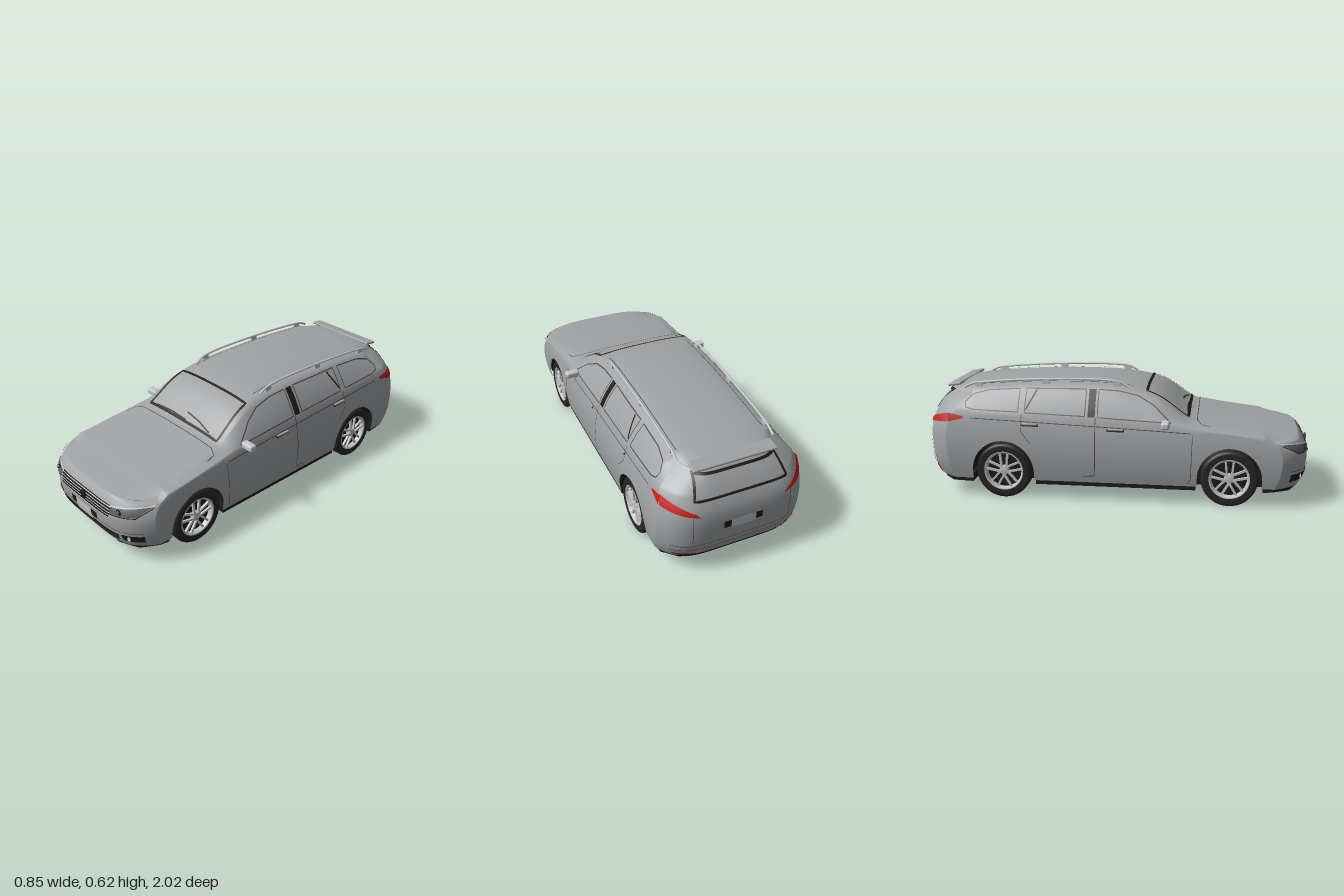
import * as THREE from 'three';
import { mergeVertices } from 'three/addons/utils/BufferGeometryUtils.js';
import { RoundedBoxGeometry } from 'three/addons/geometries/RoundedBoxGeometry.js';

const W = 0.385, SILL = 0.1, ARCH = 0.163, AXLE_Y = 0.145, AXLES = [0.6, -0.57];
const lerp = THREE.MathUtils.lerp;

// station, shoulder height, roof/hood edge x, edge height, centre height
const SECTIONS = [
  [-1, 0.46, 0.245, 0.545, 0.568], [-0.7, 0.452, 0.258, 0.567, 0.592], [-0.4, 0.44, 0.262, 0.585, 0.612],
  [-0.1, 0.43, 0.262, 0.588, 0.615], [0.03, 0.425, 0.262, 0.583, 0.605], [0.15, 0.42, 0.265, 0.565, 0.582],
  [0.25, 0.415, 0.282, 0.525, 0.54], [0.38, 0.405, 0.292, 0.437, 0.448], [0.42, 0.4, 0.3, 0.424, 0.435],
  [0.77, 0.362, 0.33, 0.37, 0.38], [1, 0.338, 0.34, 0.345, 0.347]];
// height, z of the nose and of the tail
const NOSE = [[0.08, 0.96], [0.15, 0.988], [0.25, 1], [0.3, 0.988], [0.347, 0.955]];
const TAIL = [[0.08, -0.945], [0.16, -0.985], [0.3, -1], [0.38, -0.995], [0.43, -0.975], [0.5, -0.935], [0.57, -0.88]];

// smooth lookup in a sorted table
function at(table, s, c = 1) {
  const n = table.length - 1;
  if (s <= table[0][0]) return table[0][c];
  if (s >= table[n][0]) return table[n][c];
  let i = 0;
  while (s > table[i + 1][0]) i++;
  const slope = k => {
    const p = table[Math.max(0, k - 1)], q = table[Math.min(n, k + 1)];
    return (q[c] - p[c]) / (q[0] - p[0]);
  };
  const a = table[i], b = table[i + 1], h = b[0] - a[0], t = (s - a[0]) / h, t2 = t * t, t3 = t2 * t;
  return a[c] * (2 * t3 - 3 * t2 + 1) + b[c] * (3 * t2 - 2 * t3) + h * (slope(i) * (t3 - 2 * t2 + t) + slope(i + 1) * (t3 - t2));
}
const section = s => [1, 2, 3, 4].map(c => at(SECTIONS, s, c));
const lowerX = y => W * (1 - 0.08 * ((y - 0.24) / 0.2) ** 2);
function sideX(y, s) {
  const [sh, ex, ey] = section(s);
  if (y <= sh) return lowerX(y);
  const t = Math.min(1, (y - sh) / (ey - sh));
  return lerp(lowerX(sh), ex, t) + 0.05 * (ey - sh) * Math.sin(Math.PI * t);
}
function topY(x, s) {
  const [sh, ex, ey, top] = section(s), a = Math.abs(x) / ex;
  return a <= 1 ? ey + (top - ey) * (1 - a ** 3) : lerp(ey, sh, (Math.abs(x) - ex) / (lowerX(sh) - ex));
}
const ratio = (x, y, s) => Math.min(1, Math.abs(x) / sideX(y, s));
const frontZ = (x, y) => at(NOSE, y) - 0.14 * ratio(x, y, 1) ** 5;
const rearZ = (x, y) => at(TAIL, y) + 0.13 * ratio(x, y, -1) ** 6;
function warpZ(x, y, s) {
  if (s > 0.77) return lerp(0.77, frontZ(x, y), (s - 0.77) / 0.23);
  if (s < -0.75) return lerp(-0.75, rearZ(x, y), (-0.75 - s) / 0.25);
  return s;
}
function bottomY(s) {
  for (const c of AXLES) {
    const d = Math.abs(s - c);
    if (d <= ARCH + 1e-6) return AXLE_Y + Math.sqrt(Math.max(0, ARCH * ARCH - d * d));
  }
  return SILL;
}
function halfProfile(s) {
  const [sh, ex, ey] = section(s), b = bottomY(s), pts = [];
  for (let i = 0; i < 12; i++) { const y = lerp(b, sh, i / 12); pts.push([lowerX(y), y]); }
  for (let i = 0; i < 8; i++) { const y = lerp(sh, ey, i / 8); pts.push([sideX(y, s), y]); }
  for (let i = 0; i <= 10; i++) { const x = ex * (1 - i / 10); pts.push([x, topY(x, s)]); }
  return pts;
}

// one smooth shell: lofted sections closed by curved nose and tail
function bodyGeometry() {
  const pos = [], idx = [], stations = [];
  for (let i = 0; i <= 100; i++) stations.push(-1 + i * 0.02);
  for (const c of AXLES) {
    for (let k = 0; k <= 24; k++) stations.push(c + ARCH * Math.cos(Math.PI * k / 24));
    stations.push(c - ARCH - 0.0005, c + ARCH + 0.0005);
  }
  stations.sort((a, b) => a - b);
  const grid = (rows, flip) => {
    const base = pos.length / 3, n = rows[0].length;
    rows.forEach(r => r.forEach(p => pos.push(...p)));
    for (let i = 0; i < rows.length - 1; i++) for (let j = 0; j < n - 1; j++) {
      const a = base + i * n + j, b = a + 1, c = a + n + 1, d = a + n;
      idx.push(...(flip ? [a, d, c, a, c, b] : [a, b, c, a, c, d]));
    }
  };
  grid(stations.map(s => {
    const h = halfProfile(s);
    return [...h, ...h.slice(0, -1).reverse().map(([x, y]) => [-x, y])].map(([x, y]) => [x, y, warpZ(x, y, s)]);
  }), false);
  for (const s of [1, -1]) grid(halfProfile(s).map(([x, y]) => {
    const row = [];
    for (let k = 0; k <= 36; k++) {
      const u = x * Math.sin((1 - k / 18) * Math.PI / 2);
      row.push([u, y, warpZ(u, y, s)]);
    }
    return row;
  }), s > 0);
  const g = new THREE.BufferGeometry();
  g.setAttribute('position', new THREE.Float32BufferAttribute(pos, 3));
  g.setIndex(idx);
  const m = mergeVertices(g, 1e-5);
  m.computeVertexNormals();
  return m;
}

// surface maps for thin details: (u, v, lift) -> point
const onFront = (x, y, o) => [x + Math.sign(x) * o * ratio(x, y, 1) ** 4, y, frontZ(x, y) + o];
const onRear = (x, y, o) => [x + Math.sign(x) * o * ratio(x, y, -1) ** 4, y, rearZ(x, y) - o];
const onTop = (x, z, o) => [x, topY(x, z) + o, z];
const onSide = k => (z, y, o) => [k * (sideX(y, z) + o), y, z];

export function createModel() {
  const car = new THREE.Group();
  car.name = 'estateCar';
  const paint = (name, color) => new THREE.MeshStandardMaterial({ name, color, side: THREE.DoubleSide });
  const body = paint('bodyGrey', 0xa0a2a4), glass = paint('glassGrey', 0x9fa1a3), black = paint('trimBlack', 0x1c1c1c);
  const tyreMat = paint('tyreBlack', 0x262626), red = paint('lampRed', 0xc42020), silver = paint('silver', 0xc4c6c8);
  const lamp = paint('lampGrey', 0x5c5e60), seam = paint('seamGrey', 0x48494b);
  const add = (name, geo, mat, parent = car) => {
    const m = new THREE.Mesh(geo, mat);
    m.name = name;
    parent.add(m);
    return m;
  };
  const sheet = (name, mat, rows) => {
    const n = rows[0].length, idx = [], g = new THREE.BufferGeometry();
    g.setAttribute('position', new THREE.Float32BufferAttribute(rows.flat(2), 3));
    for (let i = 0; i < rows.length - 1; i++) for (let j = 0; j < n - 1; j++) {
      const a = i * n + j;
      idx.push(a, a + 1, a + n + 1, a, a + n + 1, a + n);
    }
    g.setIndex(idx);
    g.computeVertexNormals();
    return add(name, g, mat);
  };
  const patch = (name, mat, map, [a, b, c, d], lift = 0.004, n = 14) => {
    const rows = [];
    for (let i = 0; i <= n; i++) {
      const row = [];
      for (let j = 0; j <= n; j++) {
        const v = i / n, u = j / n, mix = q => lerp(lerp(a[q], b[q], u), lerp(d[q], c[q], u), v);
        row.push(map(mix(0), mix(1), lift));
      }
      rows.push(row);
    }
    return sheet(name, mat, rows);
  };
  const rect = (x0, y0, x1, y1) => [[x0, y0], [x1, y0], [x1, y1], [x0, y1]];
  const strip = (name, mat, map, pts, w = 0.005, lift = 0.005) => {
    const path = [];
    pts.forEach((p, i) => {
      if (!i) return path.push(p);
      const q = pts[i - 1], n = Math.ceil(Math.hypot(p[0] - q[0], p[1] - q[1]) / 0.02);
      for (let k = 1; k <= n; k++) path.push([lerp(q[0], p[0], k / n), lerp(q[1], p[1], k / n)]);
    });
    const rows = path.map((p, i) => {
      const a = path[Math.max(0, i - 1)], b = path[Math.min(path.length - 1, i + 1)];
      const dx = b[0] - a[0], dy = b[1] - a[1], l = (Math.hypot(dx, dy) || 1) * 2 / w;
      return [-1, 1].map(e => map(p[0] - e * dy / l, p[1] + e * dx / l, lift));
    });
    return sheet(name, mat, rows);
  };
  const loop = pts => [...pts, pts[0]];

  add('bodyShell', bodyGeometry(), body);

  // underside with wheel cut-outs
  const half = [[0.2, 0.95], [0.3, 0.905], [0.35, 0.82], [0.36, 0.77], [0.27, 0.77], [0.27, 0.43], [0.365, 0.43],
    [0.365, -0.4], [0.27, -0.4], [0.27, -0.74], [0.36, -0.74], [0.35, -0.85], [0.28, -0.915], [0.15, -0.94]];
  const plan = new THREE.Shape([...half, ...half.map(([x, z]) => [-x, z]).reverse()].map(p => new THREE.Vector2(...p)));
  add('underbody', new THREE.ExtrudeGeometry(plan, { depth: 0.04, bevelEnabled: false }).rotateX(Math.PI / 2).translate(0, 0.118, 0), black);
  add('innerStructure', new THREE.BoxGeometry(0.53, 0.22, 1.56).translate(0, 0.21, 0), black);
  add('sumpGuard', new THREE.BoxGeometry(0.19, 0.014, 0.12).translate(0, 0.072, 0.74), seam);

  // windscreen, wipers, bonnet and roof seams
  const screen = [[-0.27, 0.385], [0.27, 0.385], [0.25, 0.17], [-0.25, 0.17]];
  patch('windscreen', glass, onTop, screen, 0.003, 24);
  strip('windscreenFrame', black, onTop, loop(screen), 0.014, 0.006);
  strip('wiperLeft', black, onTop, [[0.2, 0.375], [0.1, 0.355], [0.0, 0.345]], 0.007, 0.009);
  strip('wiperRight', black, onTop, [[0.02, 0.378], [-0.1, 0.375], [-0.22, 0.38]], 0.007, 0.009);
  strip('bonnetSeam', seam, onTop, [[-0.335, 0.5], [-0.325, 0.45], [-0.28, 0.43], [0.28, 0.43], [0.325, 0.45], [0.335, 0.5]], 0.004);

  // front: grille, plate, lower intake
  patch('grille', black, onFront, [[-0.2, 0.25], [0.2, 0.25], [0.212, 0.312], [-0.212, 0.312]]);
  for (let i = 0; i < 5; i++) strip('grilleSlat', silver, onFront, [[-0.208, 0.255 + i * 0.013], [0.208, 0.255 + i * 0.013]], 0.0045, 0.007);
  add('sensorCover', new THREE.CylinderGeometry(0.023, 0.023, 0.008, 24).rotateX(Math.PI / 2).translate(0, 0.283, 1.002), black);
  patch('frontPlateHolder', black, onFront, rect(-0.108, 0.19, 0.108, 0.23), 0.006);
  patch('frontPlate', silver, onFront, rect(-0.064, 0.172, 0.064, 0.236), 0.009);
  patch('lowerIntake', black, onFront, [[-0.24, 0.128], [0.24, 0.128], [0.248, 0.17], [-0.248, 0.17]]);
  for (const y of [0.139, 0.149, 0.159]) strip('intakeSlat', seam, onFront, [[-0.24, y], [0.24, y]], 0.003, 0.006);
  strip('bumperSeam', seam, onFront, [[-0.35, 0.192], [-0.115, 0.192]], 0.003);
  strip('bumperSeam', seam, onFront, [[0.115, 0.192], [0.35, 0.192]], 0.003);

  // rear: window, spoiler, plate, bumper
  const rearGlass = [[-0.235, 0.445], [0.235, 0.445], [0.205, 0.54], [-0.205, 0.54]];
  patch('rearWindow', glass, onRear, rearGlass, 0.003);
  strip('rearWindowFrame', black, onRear, loop(rearGlass), 0.011, 0.006);
  const spoiler = add('roofSpoiler', new RoundedBoxGeometry(0.43, 0.014, 0.07, 3, 0.006), body);
  spoiler.position.set(0, 0.568, -0.868);
  spoiler.rotation.x = -0.15;
  patch('rearPlateHolder', black, onRear, rect(-0.1, 0.272, 0.1, 0.312), 0.005);
  patch('rearPlate', silver, onRear, rect(-0.064, 0.266, 0.064, 0.318), 0.008);
  patch('rearLowerTrim', black, onRear, rect(-0.3, 0.1, 0.3, 0.125));
  for (const y of [0.17, 0.2]) strip('rearBumperSeam', seam, onRear, [[-0.34, y], [0.34, y]], 0.003);

  for (const k of [1, -1]) {
    const side = onSide(k), flip = pts => pts.map(([x, y]) => [k * x, y]);

    // headlamp and fog lamp
    const head = flip([[0.205, 0.278], [0.33, 0.285], [0.366, 0.334], [0.212, 0.308]]);
    patch('headlamp', lamp, onFront, head, 0.005);
    strip('headlampBrow', silver, onFront, flip([[0.2, 0.312], [0.28, 0.323], [0.364, 0.337]]), 0.006, 0.008);
    strip('headlampEdge', black, onFront, flip([[0.205, 0.276], [0.33, 0.283], [0.368, 0.328]]), 0.004, 0.007);
    const disc = (name, r, x, y, mat, lift) => add(name,
      new THREE.CylinderGeometry(r, r, 0.006, 20).rotateX(Math.PI / 2).translate(k * x, y, frontZ(x, y) + lift), mat);
    disc('headlampLens', 0.015, 0.257, 0.298, black, 0.006);
    disc('headlampBulb', 0.006, 0.257, 0.303, silver, 0.009);
    patch('fogLampRecess', black, onFront, flip([[0.265, 0.138], [0.345, 0.135], [0.352, 0.176], [0.26, 0.174]]), 0.005);
    disc('fogLamp', 0.011, 0.298, 0.156, silver, 0.01);

    // tail lamp wraps round the corner
    patch('tailLamp', red, onRear, flip([[0.215, 0.372], [0.363, 0.4], [0.351, 0.445], [0.235, 0.392]]), 0.004, 20);
    patch('tailLampSide', red, side, [[-0.78, 0.42], [-0.862, 0.4], [-0.862, 0.445], [-0.78, 0.43]]);
    patch('rearReflector', red, onRear, flip(rect(0.23, 0.128, 0.325, 0.142)));
    strip('tailgateSeam', seam, onRear, flip([[0.25, 0.375], [0.25, 0.22]]), 0.003);

    // side windows and pillars
    const windows = {
      frontWindow: [[0.3, 0.425], [-0.075, 0.442], [-0.075, 0.573], [0.03, 0.568], [0.13, 0.547], [0.21, 0.505]],
      rearDoorWindow: [[-0.14, 0.446], [-0.455, 0.455], [-0.455, 0.57], [-0.14, 0.574]],
      quarterWindow: [[-0.49, 0.458], [-0.73, 0.465], [-0.77, 0.475], [-0.775, 0.5], [-0.74, 0.535], [-0.66, 0.556], [-0.49, 0.568]] };
    for (const [name, pts] of Object.entries(windows)) strip(name + 'Outline', seam, side, loop(pts), 0.005);
    patch('rearDoorGlass', glass, side, windows.rearDoorWindow, 0.003);
    patch('centrePillar', black, side, rect(-0.125, 0.442, -0.088, 0.574));
    strip('glassDivider', black, side, [[-0.4, 0.565], [-0.45, 0.47]], 0.009, 0.006);

    // shoulder crease, door seams, handles
    strip('beltSeam', seam, side, [[0.4, 0.378], [0, 0.395], [-0.4, 0.41], [-0.74, 0.422]], 0.004);
    strip('frontDoorSeam', seam, side, [[0.41, 0.37], [0.405, 0.14], [0.39, 0.115]], 0.003);
    strip('middleDoorSeam', seam, side, [[-0.085, 0.44], [-0.085, 0.14], [-0.15, 0.135]], 0.004);
    strip('rearDoorSeam', seam, side, [[-0.47, 0.45], [-0.47, 0.36], [-0.42, 0.3]], 0.003);
    for (const [z, y] of [[0.02, 0.384], [-0.425, 0.398]]) {
      strip('handleRecess', black, side, [[z + 0.045, y - 0.004], [z - 0.045, y - 0.002]], 0.013);
      add('doorHandle', new RoundedBoxGeometry(0.014, 0.01, 0.08, 2, 0.004).translate(k * (sideX(y, z) + 0.006), y + 0.002, z), body);
    }

    // roof rail
    const rail = [[0.07, 0.002], [0.03, 0.02], [-0.05, 0.026], [-0.4, 0.024], [-0.68, 0.022], [-0.76, 0.016], [-0.8, 0]]
      .map(([z, o]) => new THREE.Vector3(k * 0.249, topY(0.249, z) + o, z));
    add('roofRail', new THREE.TubeGeometry(new THREE.CatmullRomCurve3(rail), 50, 0.006, 8), silver);
    for (const z of [0.01, -0.36, -0.72]) add('roofRailFoot', new THREE.BoxGeometry(0.01, 0.03, 0.04).translate(k * 0.249, topY(0.249, z) + 0.008, z), silver);
    strip('roofSeam', seam, onTop, [[k * 0.225, 0.1], [k * 0.225, -0.74]], 0.004, 0.004);

    // door mirror
    add('mirror', new RoundedBoxGeometry(0.076, 0.036, 0.042, 4, 0.012).translate(k * 0.387, 0.422, 0.275), silver);
    add('mirrorStalk', new THREE.BoxGeometry(0.04, 0.014, 0.025).translate(k * 0.352, 0.408, 0.275), black);

    // wheels and wheel wells
    for (const z of AXLES) {
      add('wheelWell', new THREE.CylinderGeometry(ARCH, ARCH, 0.11, 32, 1, true, 0, Math.PI).rotateZ(Math.PI / 2).translate(k * 0.32, AXLE_Y, z), black);
      const wheel = new THREE.Group();
      wheel.name = 'wheel';
      wheel.position.set(k * 0.3275, AXLE_Y, z);
      wheel.rotation.y = k > 0 ? 0 : Math.PI;
      car.add(wheel);
      const lathe = (name, pts, mat) => add(name, new THREE.LatheGeometry(pts.map(p => new THREE.Vector2(...p)), 40).rotateZ(-Math.PI / 2), mat, wheel);
      const tread = [];
      for (let i = 0; i < 4; i++) {
        const y = -0.036 + i * 0.02;
        tread.push([0.145, y], [0.145, y + 0.011], [0.14, y + 0.013], [0.14, y + 0.018]);
      }
      lathe('tyre', [[0.1, -0.044], [0.13, -0.0475], [0.14, -0.043], ...tread.slice(0, -2), [0.14, 0.043], [0.13, 0.0475], [0.1, 0.044]], tyreMat);
      lathe('rim', [[0.09, 0.02], [0.094, 0.042], [0.1, 0.046], [0.104, 0.045]], silver);
      lathe('wheelDisc', [[0.0001, 0.015], [0.1, 0.015]], black);
      lathe('innerDisc', [[0.0001, -0.03], [0.102, -0.03]], black);
      lathe('hub', [[0.025, 0.015], [0.025, 0.036], [0.018, 0.04], [0.0001, 0.04]], silver);
      for (let i = 0; i < 5; i++) for (const e of [-1, 1]) {
        const spoke = add('spoke', new THREE.BoxGeometry(0.012, 0.082, 0.011).translate(0.034, 0.056, e * 0.011), silver, wheel);
        spoke.rotation.x = i * Math.PI * 2 / 5 + e * 0.1;
      }
    }
  }
  return car;
}
